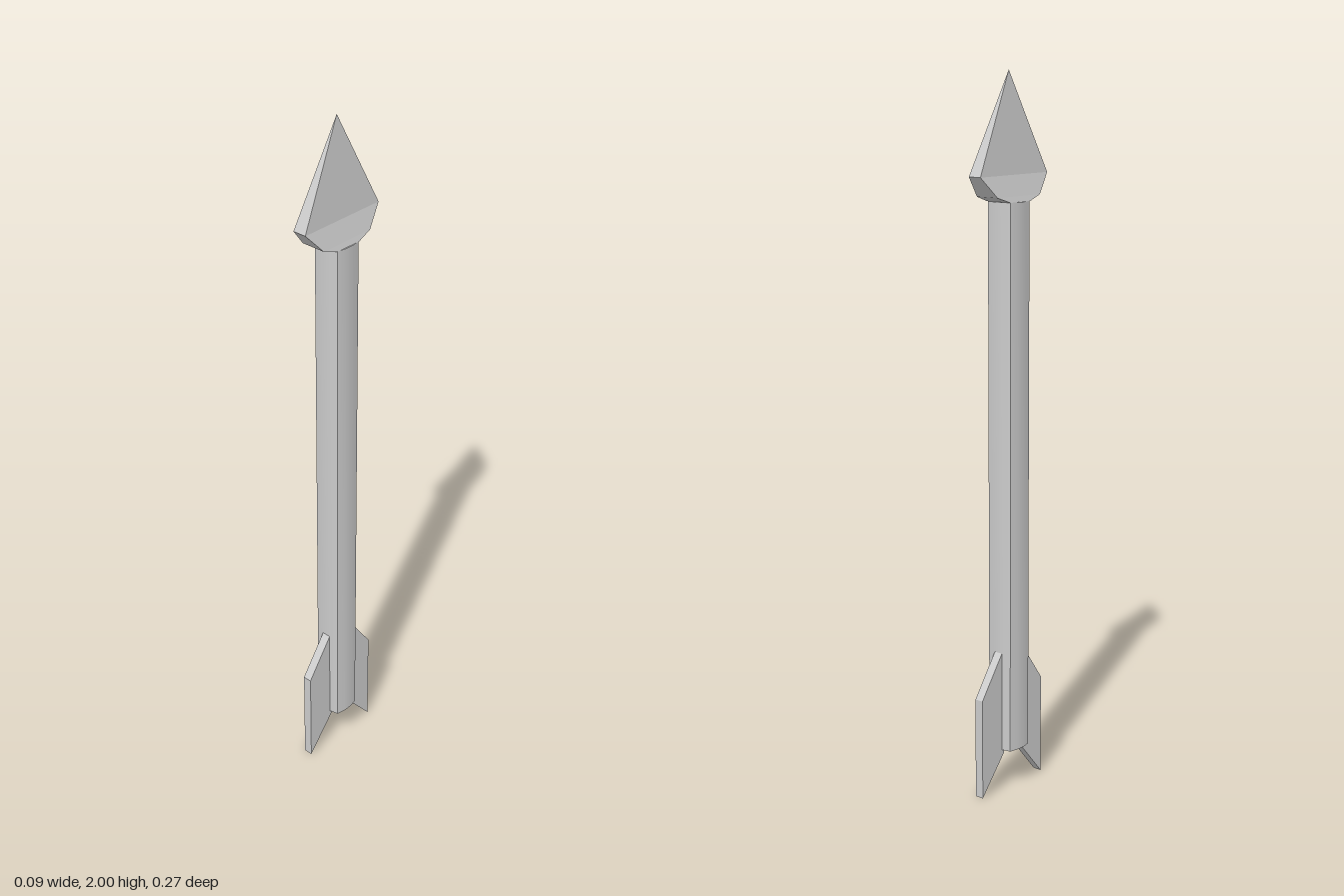
import * as THREE from 'three';
import { toCreasedNormals } from 'three/addons/utils/BufferGeometryUtils.js';

const material = new THREE.MeshStandardMaterial({ color: 0xcccccc });
const flatMaterial = new THREE.MeshStandardMaterial({ color: 0xcccccc, flatShading: true });

function addMesh(parent, name, geometry, mat) {
  const mesh = new THREE.Mesh(geometry, mat);
  mesh.name = name;
  parent.add(mesh);
  return mesh;
}

// Shaft: a square bar with gently bulging sides and sharp corners
function shaftGeometry(bottom, top) {
  const side = [[0.039, -0.039], [0.0445, -0.014], [0.0445, 0.014]];
  const points = [];
  for (let i = 0; i < 4; i++) {
    for (const [x, y] of side) {
      points.push(new THREE.Vector2(x, y).rotateAround(new THREE.Vector2(), i * Math.PI / 2));
    }
  }
  const geometry = new THREE.ExtrudeGeometry(new THREE.Shape(points), { depth: top - bottom, bevelEnabled: false });
  geometry.rotateX(-Math.PI / 2).translate(0, bottom, 0);
  return toCreasedNormals(geometry, 0.6);
}

// Head: rectangular sections [y, half x, half z] joined from base to tip
function headGeometry(sections) {
  const positions = [];
  const index = [];
  for (const [y, x, z] of sections) {
    positions.push(x, y, z, x, y, -z, -x, y, -z, -x, y, z);
  }
  for (let s = 0; s < sections.length - 1; s++) {
    for (let i = 0; i < 4; i++) {
      const a = s * 4 + i;
      const b = s * 4 + (i + 1) % 4;
      index.push(a, b, b + 4);
      if (s < sections.length - 2) index.push(a, b + 4, a + 4);
    }
  }
  index.push(0, 2, 1, 0, 3, 2); // base
  const geometry = new THREE.BufferGeometry();
  geometry.setAttribute('position', new THREE.Float32BufferAttribute(positions, 3));
  geometry.setIndex(index);
  geometry.computeVertexNormals();
  return geometry;
}

// Fin: a slanted plate in the y-z plane, pointing to +z
function finGeometry(thickness) {
  const outline = [[0.035, 0.11], [0.127, 0], [0.127, 0.29], [0.043, 0.41], [0.035, 0.41]];
  const shape = new THREE.Shape(outline.map(([z, y]) => new THREE.Vector2(z, y)));
  const geometry = new THREE.ExtrudeGeometry(shape, { depth: thickness, bevelEnabled: false });
  return geometry.translate(0, 0, -thickness / 2).rotateY(-Math.PI / 2);
}

export function createModel() {
  const arrow = new THREE.Group();
  arrow.name = 'arrow';

  addMesh(arrow, 'shaft', shaftGeometry(0.12, 1.66), material);
  addMesh(arrow, 'arrowhead', headGeometry([
    [1.66, 0.041, 0.04],
    [1.675, 0.036, 0.086],
    [1.73, 0.02, 0.135],
    [2, 0, 0],
  ]), flatMaterial);

  // Front and back fins
  const fin = finGeometry(0.026);
  addMesh(arrow, 'frontFin', fin, flatMaterial);
  addMesh(arrow, 'backFin', fin, flatMaterial).rotation.y = Math.PI;

  return arrow;
}
